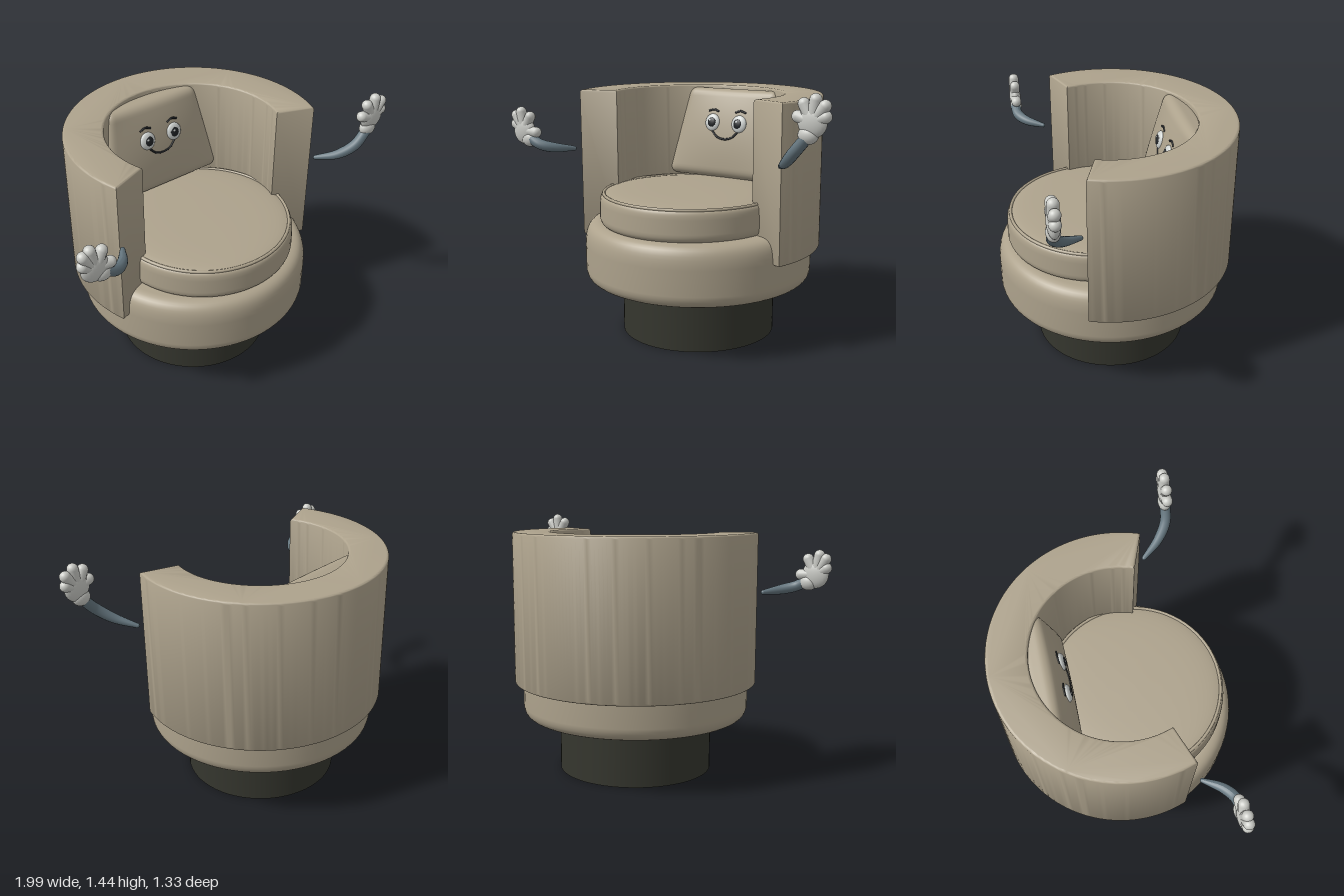
import * as THREE from 'three';
import { mergeVertices, toCreasedNormals } from 'three/addons/utils/BufferGeometryUtils.js';

const material = (name, color) => {
  const m = new THREE.MeshStandardMaterial({ color });
  m.name = name;
  return m;
};
const V = (x, y, z) => new THREE.Vector3(x, y, z);
const CENTRE_Z = 0.02;

export function createModel() {
  const fabric = material('beige fabric', 0xada28c);
  const plinth = material('dark plinth', 0x35362e);
  const sleeve = material('blue grey sleeve', 0x64757e);
  const glove = material('pale glove', 0xc9cac5);
  const eyeWhite = material('eye white', 0xd0d4d2);
  const ink = material('dark ink', 0x202326);

  const root = new THREE.Group();
  root.name = 'armchair';
  const add = (parent, name, geometry, mat, x = 0, y = 0, z = 0) => {
    const mesh = new THREE.Mesh(geometry, mat);
    mesh.name = name;
    mesh.position.set(x, y, z);
    parent.add(mesh);
    return mesh;
  };
  const ball = (parent, name, mat, p, s) => {
    const mesh = add(parent, name, new THREE.SphereGeometry(1, 24, 16), mat, ...p);
    mesh.scale.set(...s);
    return mesh;
  };

  // Round foot
  add(root, 'base', new THREE.CylinderGeometry(0.435, 0.435, 0.3, 64), plinth, 0, 0.15, CENTRE_Z);

  // Upholstered seat body with soft top and bottom edges
  const body = new THREE.Path();
  body.moveTo(0, 0.292);
  body.lineTo(0.5, 0.294);
  body.bezierCurveTo(0.6, 0.302, 0.638, 0.315, 0.643, 0.38);
  body.lineTo(0.643, 0.52);
  body.bezierCurveTo(0.64, 0.62, 0.61, 0.64, 0.56, 0.645);
  body.lineTo(0, 0.65);
  add(root, 'seatBody', new THREE.LatheGeometry(body.getPoints(10), 72), fabric, 0, 0, CENTRE_Z);

  // Loose seat cushion, slightly domed, with a piped seam
  const pad = new THREE.Path();
  pad.moveTo(0, 0.635);
  pad.lineTo(0.47, 0.637);
  pad.bezierCurveTo(0.5, 0.645, 0.51, 0.66, 0.51, 0.69);
  pad.lineTo(0.508, 0.765);
  pad.bezierCurveTo(0.506, 0.8, 0.5, 0.81, 0.484, 0.812);
  pad.bezierCurveTo(0.44, 0.832, 0.3, 0.835, 0, 0.837);
  add(root, 'seatCushion', new THREE.LatheGeometry(pad.getPoints(10), 72), fabric, 0, 0, 0.097);
  const piping = new THREE.TorusGeometry(0.487, 0.009, 8, 72).rotateX(Math.PI / 2);
  add(root, 'cushionPiping', piping, fabric, 0, 0.813, 0.097);

  // Wrap-around back and arms: an open ring with rounded edges
  const a = THREE.MathUtils.degToRad(20.5);
  const ring = new THREE.Shape();
  ring.absarc(0, 0, 0.69, -a, Math.PI + a, false);
  ring.absarc(0, 0, 0.473, Math.PI + a, -a, true);
  ring.closePath();
  const bevel = 0.014;
  const shell = new THREE.ExtrudeGeometry(ring, {
    depth: 0.85 - 2 * bevel, curveSegments: 64, bevelEnabled: true,
    bevelSize: bevel, bevelThickness: bevel, bevelOffset: -bevel, bevelSegments: 4,
  });
  shell.rotateX(-Math.PI / 2);
  add(root, 'wrapAroundBack', toCreasedNormals(shell, 0.6), fabric, 0, 0.51 + bevel, CENTRE_Z);

  // Back pillow: rounded box, narrower at the top and bulging at the front and back
  const pillow = new THREE.Group();
  pillow.name = 'backPillow';
  pillow.position.set(0, 1.08, -0.365);
  pillow.rotation.x = -0.2;
  root.add(pillow);
  const half = V(0.345, 0.265, 0.07), round = 0.045;
  const bulge = (x, y) =>
    0.03 * Math.max(0, 1 - (x / half.x) ** 2) * Math.max(0, 1 - (y / half.y) ** 2);
  let box = new THREE.BoxGeometry(half.x * 2, half.y * 2, half.z * 2, 48, 38, 12);
  box.deleteAttribute('uv');
  box.deleteAttribute('normal');
  box = mergeVertices(box);
  const limit = half.clone().subScalar(round);
  const pos = box.attributes.position;
  for (let i = 0; i < pos.count; i++) {
    const p = V().fromBufferAttribute(pos, i);
    const core = p.clone().clamp(limit.clone().negate(), limit);
    p.sub(core).setLength(round).add(core);
    p.z += Math.sign(p.z) * bulge(p.x, p.y);
    p.x *= 1 - 0.14 * (p.y / half.y);
    pos.setXYZ(i, p.x, p.y, p.z);
  }
  box.computeVertexNormals();
  add(pillow, 'pillowBody', box, fabric);

  // Face on the pillow
  const front = (x, y) => half.z + bulge(x, y);
  const stroke = (name, points, radius) => {
    const curve = new THREE.CatmullRomCurve3(points.map(([x, y]) => V(x, y, front(x, y))));
    add(pillow, name, new THREE.TubeGeometry(curve, 24, radius, 8), ink);
    for (const end of [0, 1]) {
      ball(pillow, name + 'End', ink, curve.getPoint(end).toArray(), [radius, radius, radius]);
    }
  };
  for (const s of [1, -1]) {
    const side = s > 0 ? 'left' : 'right';
    const ex = s * 0.09, ey = 0.055, ez = front(ex, ey);
    ball(pillow, side + 'Eye', eyeWhite, [ex, ey, ez], [0.048, 0.051, 0.02]);
    ball(pillow, side + 'Pupil', ink, [ex - s * 0.002, ey, ez + 0.014], [0.027, 0.029, 0.01]);
    ball(pillow, side + 'EyeGlint', eyeWhite, [ex - 0.008, ey + 0.011, ez + 0.022], [0.007, 0.007, 0.003]);
    stroke(side + 'Brow', [[s * 0.06, 0.122], [s * 0.09, 0.132], [s * 0.122, 0.123]], 0.006);
  }
  stroke('smile', [[-0.082, 0.002], [-0.05, -0.028], [0, -0.04], [0.05, -0.028], [0.082, 0.002]], 0.006);

  // Tapered sleeve along a curve
  const taperedTube = (points, r0, r1) => {
    const curve = new THREE.CatmullRomCurve3(points);
    const rings = 28, sides = 14;
    const geo = new THREE.TubeGeometry(curve, rings, 1, sides);
    const p = geo.attributes.position, v = V();
    for (let i = 0; i < p.count; i++) {
      const t = Math.floor(i / (sides + 1)) / rings;
      const c = curve.getPointAt(t);
      const r = r0 + (r1 - r0) * Math.sin(Math.min(1, t * 1.5) * Math.PI / 2);
      v.fromBufferAttribute(p, i).sub(c).multiplyScalar(r).add(c);
      p.setXYZ(i, v.x, v.y, v.z);
    }
    geo.computeVertexNormals();
    return geo;
  };

  // Floating arms, each ending in a puffy glove
  const arm = (side, s, path, palm, wrist, thumb, tips) => {
    const group = new THREE.Group();
    group.name = side + 'Arm';
    root.add(group);
    const pts = path.map(([x, y, z]) => V(s * x, y, z));
    add(group, 'sleeve', taperedTube(pts, 0.013, 0.03), sleeve);
    ball(group, 'sleeveEnd', sleeve, pts[0].toArray(), [0.013, 0.013, 0.013]);
    const z = 0.452;
    ball(group, 'palm', glove, [s * palm[0], palm[1], z], [0.076, 0.078, 0.034]);
    ball(group, 'cuff', glove, [s * wrist[0], wrist[1], z], [0.052, 0.044, 0.036]);
    // Capsule fingers from palm to tip
    for (const [i, tip] of [thumb, ...tips].entries()) {
      const end = V(s * tip[0], tip[1], z);
      const start = V(s * palm[0], palm[1], z).lerp(end, 0.35);
      const r = 0.03;
      const finger = add(group, i ? 'finger' + i : 'thumb',
        new THREE.CapsuleGeometry(r, start.distanceTo(end), 8, 16), glove);
      finger.position.copy(start).add(end).multiplyScalar(0.5);
      finger.quaternion.setFromUnitVectors(V(0, 1, 0), end.sub(start).normalize());
    }
  };
  arm('left', 1,
    [[0.66, 1.048, 0.295], [0.735, 1.088, 0.39], [0.805, 1.15, 0.445], [0.875, 1.23, 0.455]],
    [0.9, 1.305], [0.88, 1.24], [0.825, 1.325],
    [[0.855, 1.385], [0.914, 1.407], [0.962, 1.38], [0.967, 1.33]]);
  arm('right', -1,
    [[0.66, 1.028, 0.31], [0.725, 1.04, 0.405], [0.79, 1.058, 0.45], [0.855, 1.09, 0.455]],
    [0.905, 1.13], [0.865, 1.083], [0.818, 1.125],
    [[0.86, 1.212], [0.925, 1.235], [0.962, 1.215], [0.967, 1.165]]);

  return root;
}
